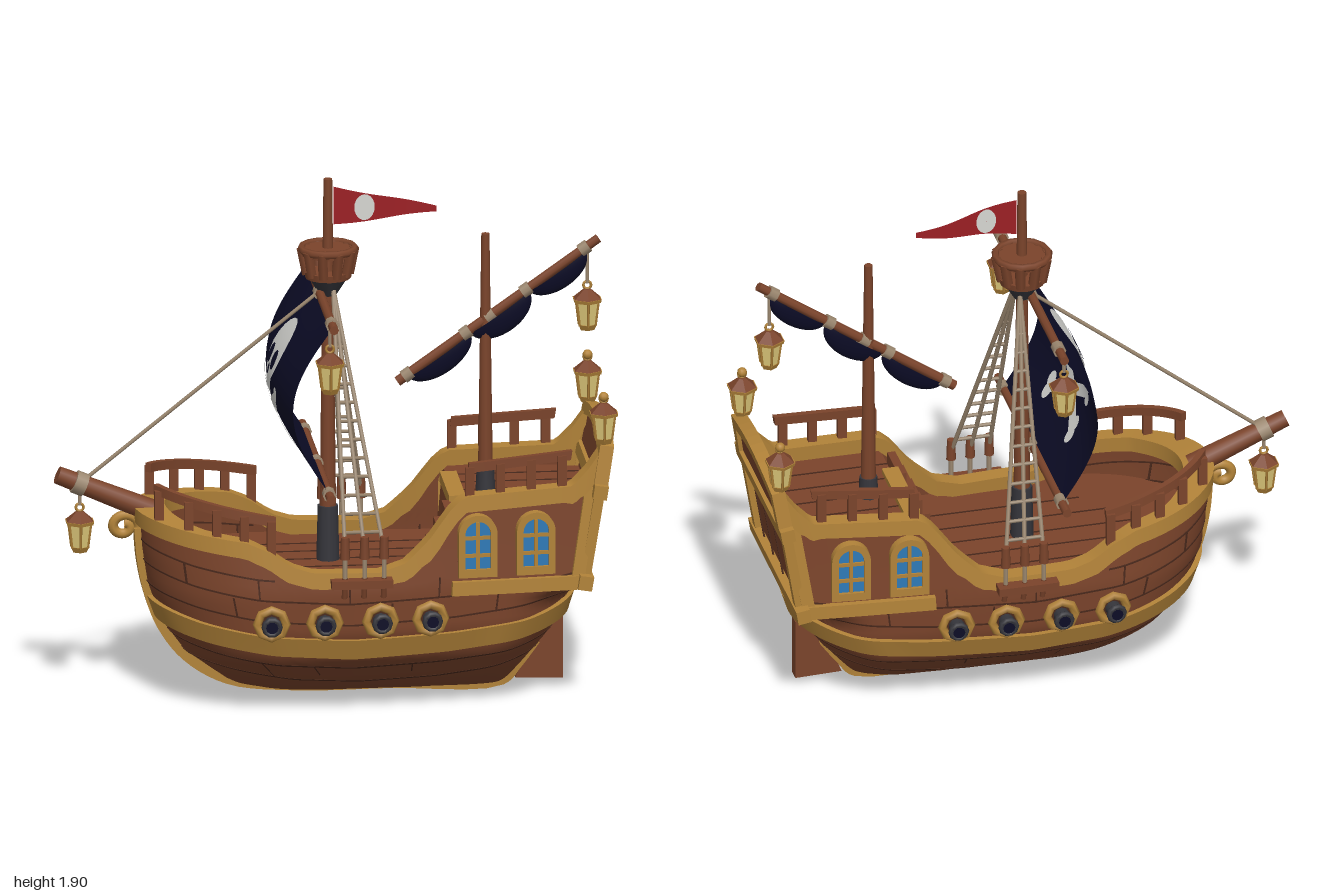
import * as THREE from 'three';
import { toCreasedNormals } from 'three/addons/utils/BufferGeometryUtils.js';

const V = (x, y, z) => new THREE.Vector3(x, y, z);
const mat = (name, color) => new THREE.MeshStandardMaterial({ name, color, side: THREE.DoubleSide });
const wood = mat('wood', 0x7b442b), seam = mat('dark seam', 0x4a291c), gold = mat('golden trim', 0xb28339),
  glow = mat('lantern glass', 0xe2cc7c), navy = mat('navy cloth', 0x0c0c26), bone = mat('bone white', 0xd6d6d2),
  red = mat('red cloth', 0x9c1f24), rope = mat('rope', 0x9c8870), iron = mat('iron', 0x36363c), blue = mat('window blue', 0x2f7ab8);

// Piecewise linear lookup in [key, value] pairs
function look(table, k) {
  for (let i = 1; i < table.length; i++) {
    const [a, va] = table[i - 1], [b, vb] = table[i];
    if (k <= b) return va + (vb - va) * Math.max(0, (k - a) / (b - a));
  }
  return table[table.length - 1][1];
}
// Hull form: bow and stern outline, half width, sheer, belt and hand rail lines
const BOW = [[0, -0.1], [0.02, -0.27], [0.05, -0.38], [0.17, -0.54], [0.28, -0.62], [0.42, -0.67], [0.55, -0.69], [0.7, -0.7]];
const STERN = [[0, 0.6], [0.1, 0.68], [0.2, 0.76], [0.3, 0.83], [0.43, 0.86], [0.8, 0.92], [0.98, 0.95]];
const WIDTH = [[0, 0], [0.02, 0.09], [0.05, 0.16], [0.1, 0.235], [0.2, 0.325], [0.3, 0.362], [0.45, 0.37], [0.6, 0.355], [0.8, 0.338], [0.98, 0.328]];
const SHEER = [[0, 0.69], [0.1, 0.665], [0.22, 0.64], [0.27, 0.605], [0.32, 0.55], [0.37, 0.525], [0.52, 0.52], [0.58, 0.55], [0.63, 0.63], [0.675, 0.74], [0.7, 0.78], [0.94, 0.8], [0.97, 0.86], [1, 0.95]];
const BELT = [[0, 0.335], [0.1, 0.3], [0.25, 0.262], [0.45, 0.24], [0.7, 0.255], [0.88, 0.285], [1, 0.325]];
const RAIL = [[0.025, 0.815], [0.285, 0.735], [0.7, 0.905], [0.93, 0.935]];
const sheer = s => look(SHEER, s), belt = s => look(BELT, s), rail = s => look(RAIL, s);
const sAt = (x, y) => (x - look(BOW, y)) / (look(STERN, y) - look(BOW, y));
const clamp = v => Math.min(1, Math.max(0, v));

// t runs -1 (right stern) through 0 (stem) to 1 (left stern); the stern is round low down, square above
function hull(t, y) {
  const s = clamp(t * t), b = look(BOW, y), e = look(STERN, y);
  const plan = s < 0.28 ? Math.sqrt(1 - (1 - s / 0.28) ** 2) : s < 0.42 ? 1 : 1 - 0.18 * ((s - 0.42) / 0.58) ** 1.4;
  const round = Math.sqrt(1 - clamp((s - 0.82) / 0.18) ** 2), low = clamp((0.43 - y) / 0.06);
  return V(b + (e - b) * s, y, Math.sign(t) * look(WIDTH, y) * plan * (1 - low + low * round));
}
function outward(t, y) {
  const d = hull(Math.min(t + 0.004, 1), y).sub(hull(Math.max(t - 0.004, -1), y));
  return V(-d.z, 0, d.x).normalize();
}
// Skin over rows of points; closed rows are capped
function loft(rows, closed = false, crease = 0.6) {
  const n = rows[0].length, idx = [];
  for (let i = 0; i < rows.length - 1; i++) for (let j = 0; j < (closed ? n : n - 1); j++) {
    const a = i * n + j, b = i * n + (j + 1) % n;
    idx.push(a, b, a + n, b, b + n, a + n);
  }
  const e = (rows.length - 1) * n;
  if (closed) for (let j = 1; j < n - 1; j++) idx.push(0, j + 1, j, e, e + j, e + j + 1);
  const g = new THREE.BufferGeometry().setFromPoints(rows.flat());
  g.setIndex(idx);
  return toCreasedNormals(g, crease);
}
const range = (n, f) => Array.from({ length: n + 1 }, (_, i) => f(i / n));
// Steps from t0 to t1 that crowd together at the stern
const ease = (t0, t1, k) => Math.sin(Math.asin(t0) + (Math.asin(t1) - Math.asin(t0)) * k);

export function createModel() {
  const ship = new THREE.Group();
  ship.name = 'sailingShip';
  const add = (name, geo, m, p = [0, 0, 0], parent = ship) => {
    const mesh = new THREE.Mesh(geo, m);
    mesh.name = name; mesh.position.set(...p); parent.add(mesh);
    return mesh;
  };
  const box = (name, m, w, h, d, p, parent) => add(name, new THREE.BoxGeometry(w, h, d), m, p, parent);
  const rod = (name, m, a, b, r0, r1 = r0, sides = 8) => {
    const A = V(...a), B = V(...b), d = B.clone().sub(A);
    const mesh = add(name, new THREE.CylinderGeometry(r1, r0, d.length(), sides), m, A.clone().add(B).multiplyScalar(0.5).toArray());
    mesh.quaternion.setFromUnitVectors(V(0, 1, 0), d.normalize());
  };
  // Plank bent along the hull between two heights
  const strake = (name, m, t0, t1, lo, hi, inn, out, n = 24) => add(name, loft(range(n, k => {
    const t = ease(t0, t1, k), s = t * t, i = -inn(s);
    return [[lo(s), out], [hi(s), out], [hi(s), i], [lo(s), i]].map(([y, o]) => hull(t, y).addScaledVector(outward(t, y), o));
  }), true), m);
  const sideStrake = (name, m, s0, s1, lo, hi, inn, out, n) => [1, -1].forEach(g =>
    strake(name, m, g * Math.sqrt(s0), g * Math.sqrt(s1), lo, hi, () => inn, out, n));
  const onHull = (name, x, y, side) => {
    const g = new THREE.Group(), t = side * Math.sqrt(sAt(x, y)), n = outward(t, y);
    g.name = name; g.position.copy(hull(t, y)); g.rotation.y = Math.atan2(n.x, n.z); ship.add(g);
    return g;
  };
  const across = (s, y) => [hull(-Math.sqrt(s), y), hull(Math.sqrt(s), y)];

  // Hull, transom and decks
  add('hull', loft(range(130, k => range(30, v => {
    const t = ease(-1, 1, k);
    return hull(t, sheer(t * t) * v ** 1.5);
  })), false, 0.7), wood);
  add('transom', loft(range(20, k => across(1, 0.37 + 0.56 * k))), wood);
  add('mainDeck', loft(range(30, k => across(0.7 * k * k, 0.48))), wood);
  add('poopDeck', loft(range(8, k => across(0.7 + 0.3 * k, 0.72))), wood);
  add('poopBulkhead', loft([across(0.7, 0.48), across(0.7, 0.72)]), wood);
  for (const z of [-0.2, -0.1, 0, 0.1, 0.2]) {
    box('deckSeam', seam, 0.86 - Math.abs(z), 0.004, 0.005, [-0.05 + Math.abs(z) / 2, 0.481, z]);
    box('deckSeam', seam, 0.48, 0.004, 0.005, [0.66, 0.721, z]);
  }
  box('poopEdge', gold, 0.06, 0.04, 0.32, [0.43, 0.72, -0.02]);
  for (let i = 0; i < 4; i++) box('stair', wood, 0.03, 0.06 * (i + 1), 0.16, [0.3 + i * 0.03, 0.48 + 0.03 * (i + 1), 0.2]);

  // Gold rail, belt and quarter trim
  const thick = s => 0.048 * Math.hypot(1, (sheer(s + 0.01) - sheer(s - 0.01)) / 0.033);
  strake('sheerRail', gold, -1, 1, s => sheer(s) - Math.min(thick(s), 0.11), s => sheer(s) + 0.01, s => 0.045 + 0.05 * Math.max(0, 1 - s / 0.12), 0.018, 160);
  strake('beltRail', gold, -1, 1, s => belt(s) - 0.038, s => belt(s) + 0.038, () => 0.01, 0.02, 110);
  sideStrake('quarterTrim', gold, 0.69, 1, () => 0.432, () => 0.482, 0.01, 0.022);
  sideStrake('quarterPost', gold, 0.97, 1, () => 0.46, () => 0.8, 0.01, 0.014, 3);

  // Plank seams
  for (const d of [-0.16, -0.09, 0.09, 0.17]) strake('plankSeam', seam, -1, 1, s => belt(s) + d, s => belt(s) + d + 0.006, () => 0.003, 0.003, 110);
  sideStrake('bowSeam', seam, 0, 0.28, s => belt(s) + 0.245, s => belt(s) + 0.251, 0.003, 0.003);
  for (const [s, d] of [[0.08, 0.17], [0.18, 0.09], [0.24, 0.17], [0.34, -0.16], [0.45, 0.17], [0.55, 0.09], [0.62, -0.16], [0.66, 0.17], [0.8, 0.09], [0.2, -0.16]])
    sideStrake('plankJoint', seam, s, s + 0.004, k => belt(k) + d, k => belt(k) + d + 0.075, 0.003, 0.003, 1);

  // Stem and keel with scroll, stern post and rudder
  const keel = new THREE.CatmullRomCurve3([[-0.7, 0.62], [-0.69, 0.5], [-0.665, 0.38], [-0.62, 0.26], [-0.53, 0.14], [-0.38, 0.05], [-0.15, 0.02], [0.2, 0.018], [0.6, 0.02], [0.655, 0.08], [0.72, 0.17]].map(p => V(...p, 0)));
  add('keel', loft(range(50, k => {
    const p = keel.getPoint(k), d = keel.getTangent(k), n = V(d.y, -d.x, 0), w = 0.028 + 0.08 * Math.max(0, k - 0.7);
    return [[0.017, w], [0.017, -w], [-0.03, -w], [-0.03, w]].map(([o, z]) => p.clone().addScaledVector(n, o).setZ(z));
  }), true), gold);
  const curl = range(20, k => V(-0.752 + (0.056 - 0.042 * k) * Math.cos(k * 8 - 0.3), 0.622 + (0.05 - 0.038 * k) * Math.sin(k * 8 - 0.3), 0));
  add('bowScroll', new THREE.TubeGeometry(new THREE.CatmullRomCurve3(curl), 40, 0.018, 8), gold);
  const blade = new THREE.Shape([[0.65, 0.025], [0.82, 0.02], [0.82, 0.25], [0.76, 0.25], [0.69, 0.13]].map(p => new THREE.Vector2(...p)));
  add('rudder', new THREE.ExtrudeGeometry(blade, { depth: 0.05, bevelEnabled: false }), wood, [0, 0, -0.025]);

  // Leaning stern frame
  const stern = new THREE.Group();
  stern.name = 'sternFrame'; stern.position.set(0.865, 0.43, 0); stern.rotation.z = -0.163; ship.add(stern);
  box('sternSill', gold, 0.05, 0.052, 0.7, [0, 0.03, 0], stern);
  box('sternBeam', gold, 0.05, 0.05, 0.67, [0, 0.365, 0], stern);
  for (const z of [-0.29, 0.29]) box('sternPost', gold, 0.036, 0.31, 0.04, [0, 0.2, z], stern);
  for (const z of [-0.2, -0.07, 0.07, 0.2]) box('sternSeam', seam, 0.006, 0.3, 0.006, [0.003, 0.2, z], stern);
  const arch = (w, lo, hi, top) => [new THREE.Vector2(-w - 0.015, lo), ...range(10, k => new THREE.Vector2(w * (2 * k - 1), hi + (top - hi) * Math.sin(k * Math.PI))), new THREE.Vector2(w + 0.015, lo)];
  const frame = new THREE.Shape(arch(0.295, 0.38, 0.53, 0.57));
  frame.holes.push(new THREE.Path(arch(0.25, 0.39, 0.49, 0.53)));
  const extrude = (shape, depth) => new THREE.ExtrudeGeometry(shape, { depth, bevelEnabled: false });
  add('sternArch', extrude(frame, 0.05).rotateY(Math.PI / 2), gold, [-0.025, 0, 0], stern);
  add('sternArchPanel', extrude(new THREE.Shape(arch(0.27, 0.36, 0.5, 0.54)), 0.02).rotateY(Math.PI / 2), wood, [-0.01, 0, 0], stern);

  // Bow and poop railings
  for (const [s0, s1, n] of [[0.025, 0.285, 5], [0.705, 0.93, 4]]) {
    sideStrake('handRail', wood, s0, s1, s => rail(s) - 0.034, rail, 0.022, 0);
    for (const side of [1, -1]) for (let i = 0; i < n; i++) {
      const s = s0 + 0.01 + (s1 - s0 - 0.02) * i / (n - 1), p = hull(side * Math.sqrt(s), sheer(s)), h = rail(s) - sheer(s);
      box('railPost', wood, 0.032, h, 0.022, [p.x, p.y + h / 2 - 0.015, p.z * 0.97]);
    }
  }

  // Arched windows and gun ports on both sides
  const arched = (w, y0, y1) => new THREE.Shape().moveTo(-w, y0).lineTo(w, y0).lineTo(w, y1).absarc(0, y1, w, 0, Math.PI).lineTo(-w, y0);
  for (const side of [1, -1]) {
    for (const x of [0.48, 0.69]) {
      const g = onHull('window', x, 0.61, side), f = arched(0.07, -0.115, 0.045);
      f.holes.push(arched(0.046, -0.085, 0.045));
      add('windowFrame', extrude(f, 0.035), gold, [0, 0, -0.008], g);
      add('windowPane', extrude(arched(0.05, -0.09, 0.045), 0.02), blue, [0, 0, -0.005], g);
      box('windowBar', gold, 0.013, 0.175, 0.008, [0, 0, 0.018], g);
      for (const y of [-0.035, 0.03]) box('windowBar', gold, 0.095, 0.013, 0.008, [0, y, 0.018], g);
    }
    for (const x of [-0.26, -0.07, 0.13, 0.31]) {
      const g = onHull('cannon', x, 0.35, side);
      add('portRing', new THREE.TorusGeometry(0.052, 0.016, 6, 8), gold, [0, 0, 0.01], g);
      add('portBack', new THREE.CircleGeometry(0.05, 10), seam, [0, 0, 0.008], g);
      add('barrel', new THREE.CylinderGeometry(0.027, 0.03, 0.08, 10).rotateX(Math.PI / 2), iron, [0, 0, 0.02], g);
      add('muzzle', new THREE.TorusGeometry(0.028, 0.01, 6, 10), iron, [0, 0, 0.052], g);
      add('bore', new THREE.CircleGeometry(0.022, 10), navy, [0, 0, 0.062], g);
    }
  }

  // Masts, crow's nest and bowsprit
  rod('mainMast', wood, [-0.02, 0.48, 0], [-0.02, 1.89, 0], 0.032, 0.016, 10);
  rod('mastFoot', iron, [-0.02, 0.48, 0], [-0.02, 0.68, 0], 0.042, 0.037, 10);
  rod('nestBase', wood, [-0.02, 1.525, 0], [-0.02, 1.55, 0], 0.082, 0.087, 14);
  rod('nestBracket', iron, [-0.02, 1.46, 0], [-0.02, 1.524, 0], 0.03, 0.07, 10);
  rod('nestFloor', wood, [-0.02, 1.61, 0], [-0.02, 1.635, 0], 0.095, 0.097, 14);
  add('nestRail', new THREE.TorusGeometry(0.096, 0.014, 6, 14).rotateX(Math.PI / 2), wood, [-0.02, 1.632, 0]);
  for (let i = 0; i < 10; i++) {
    const c = Math.cos(i * Math.PI / 5), s = Math.sin(i * Math.PI / 5);
    rod('nestSlat', wood, [-0.02 + 0.076 * c, 1.54, 0.076 * s], [-0.02 + 0.095 * c, 1.635, 0.095 * s], 0.019, 0.019, 6);
  }
  rod('mizzenMast', wood, [0.545, 0.72, 0], [0.545, 1.67, 0], 0.028, 0.015, 10);
  rod('mizzenFoot', iron, [0.545, 0.72, 0], [0.545, 0.8, 0], 0.036, 0.032, 10);
  rod('bowsprit', wood, [-0.64, 0.672, 0], [-0.99, 0.82, 0], 0.042, 0.032, 10);
  rod('bowspritRope', rope, [-0.89, 0.778, 0], [-0.93, 0.795, 0], 0.042, 0.042, 10);
  rod('forestay', rope, [-0.88, 0.81, 0], [-0.03, 1.49, 0], 0.007, 0.007, 6);

  // Main sail between two yards, with emblem on both faces
  for (const [y, x] of [[1.47, -0.05], [0.84, -0.06]]) {
    rod('yard', wood, [x, y, -0.5], [x, y, 0.5], 0.017, 0.017);
    for (const z of [-0.43, -0.02, 0.4]) rod('yardLashing', rope, [x, y, z], [x, y, z + 0.04], 0.024);
  }
  const drape = (geo, off) => {
    const p = geo.attributes.position;
    for (let i = 0; i < p.count; i++) {
      const z = p.getX(i), y = p.getY(i), k = clamp((y - 0.85) / 0.61);
      p.setXYZ(i, -0.045 - 0.02 * (1 - k) - (0.135 + 0.04 * (1 - (z / 0.43) ** 2)) * Math.sin(Math.PI * k) + off, y, z);
    }
    geo.computeVertexNormals();
    return geo;
  };
  add('mainSail', drape(new THREE.PlaneGeometry(0.86, 0.61, 20, 24).translate(0, 1.155, 0), 0), navy);
  const disc = (r, x, y, sy = 1) => new THREE.RingGeometry(0.0005, r, 20, 5).scale(1, sy, 1).translate(x, y, 0);
  for (const o of [0.005, -0.005]) {
    add('skull', drape(disc(0.12, 0, 1.265, 0.9), o), bone);
    add('jaw', drape(new THREE.PlaneGeometry(0.13, 0.08, 4, 4).translate(0, 1.16, 0), o), bone);
    add('nose', drape(disc(0.015, 0, 1.195, 1.3), o * 1.8), navy);
    for (const s of [1, -1]) {
      add('eye', drape(disc(0.035, s * 0.05, 1.238, 1), o * 1.8), navy);
      add('crossBone', drape(new THREE.PlaneGeometry(0.35, 0.044, 12, 2).rotateZ(s * 0.42).translate(0, 1.055, 0), o), bone);
      for (const e of [0.985, 1.125]) for (const d of [-0.018, 0.018])
        add('boneEnd', drape(disc(0.027, s * 0.164 + d * 0.4, e + d), o), bone);
    }
  }

  // Gaff with furled sail in three swags
  const gaff = k => V(0.23 + 0.72 * k, 1.13 + 0.51 * k, 0), tilt = Math.atan2(0.51, 0.72);
  rod('gaff', wood, gaff(0).toArray(), gaff(1).toArray(), 0.019, 0.017);
  for (const [k, len, deep] of [[0.2, 0.135, 0.07], [0.5, 0.13, 0.08], [0.79, 0.125, 0.068]]) {
    const p = gaff(k);
    const swag = add('furledSail', new THREE.SphereGeometry(1, 18, 10, 0, Math.PI * 2, Math.PI / 2, Math.PI / 2).scale(len, deep, 0.03), navy, [p.x + 0.005, p.y - 0.008, 0]);
    swag.rotation.z = tilt;
  }
  for (const k of [0.05, 0.34, 0.46, 0.64, 0.93]) rod('gaffLashing', rope, gaff(k - 0.02).toArray(), gaff(k + 0.02).toArray(), 0.025);

  // Pennant
  const wave = x => 0.012 * Math.sin(x * 17);
  const pennant = new THREE.PlaneGeometry(0.37, 0.14, 16, 2), pp = pennant.attributes.position;
  for (let i = 0; i < pp.count; i++) {
    const x = pp.getX(i) + 0.185;
    pp.setXYZ(i, x, 1.79 - x * 0.06 + pp.getY(i) * (1 - 2.3 * x), wave(x));
  }
  pennant.computeVertexNormals();
  add('pennant', pennant, red);
  for (const o of [0.005, -0.005]) {
    const g = disc(0.037, 0.11, 1.785, 1.3), q = g.attributes.position;
    for (let i = 0; i < q.count; i++) q.setZ(i, wave(q.getX(i)) + o);
    add('pennantEmblem', g, bone);
  }

  // Shrouds, ratlines and their platforms
  for (const side of [1, -1]) {
    box('channel', wood, 0.22, 0.03, 0.07, [0.06, 0.5, side * 0.39]);
    const top = V(-0.005, 1.5, side * 0.03), feet = [0, 0.07, 0.14].map(x => V(x, 0.62, side * 0.395));
    for (const f of feet) {
      rod('shroud', rope, f.toArray(), top.toArray(), 0.008, 0.008, 6);
      rod('deadeye', wood, [f.x, 0.59, f.z], [f.x, 0.67, f.z], 0.018, 0.015);
      rod('lanyard', rope, [f.x, 0.51, f.z], [f.x, 0.61, f.z], 0.009, 0.009, 6);
      rod('chainPlate', wood, [f.x, 0.44, side * 0.375], [f.x, 0.52, f.z], 0.01);
    }
    for (let i = 1; i < 13; i++)
      rod('ratline', rope, feet[0].clone().lerp(top, i * 0.07).toArray(), feet[2].clone().lerp(top, i * 0.07).toArray(), 0.007, 0.007, 5);
  }

  // Lanterns: y is the top ring, hang is the cord length above it
  const lantern = (x, y, z, hang) => {
    const g = new THREE.Group();
    g.name = 'lantern'; g.position.set(x, y, z); ship.add(g);
    const tier = (name, m, r1, r0, h, cy) => add(name, new THREE.CylinderGeometry(r1, r0, h, 6).toNonIndexed(), m, [0, cy, 0], g).geometry.computeVertexNormals();
    add('lanternRing', new THREE.TorusGeometry(0.014, 0.005, 6, 10), gold, [0, -0.012, 0], g);
    tier('lanternCap', wood, 0.014, 0.056, 0.036, -0.045);
    tier('lanternRim', gold, 0.057, 0.054, 0.012, -0.067);
    tier('lanternGlass', glow, 0.045, 0.032, 0.088, -0.115);
    tier('lanternBase', gold, 0.037, 0.028, 0.02, -0.166);
    for (let i = 0; i < 6; i++) {
      const c = Math.sin(i * Math.PI / 3), s = Math.cos(i * Math.PI / 3);
      rod('lanternBar', gold, [x + 0.045 * c, y - 0.07, z + 0.045 * s], [x + 0.033 * c, y - 0.16, z + 0.033 * s], 0.005, 0.005, 4);
    }
    if (hang) rod('lanternCord', rope, [x, y - 0.005, z], [x, y + hang, z], 0.007, 0.007, 6);
  };
  lantern(-0.91, 0.71, 0, 0.06);
  lantern(0.91, 1.48, 0, 0.12);
  for (const z of [1, -1]) {
    lantern(-0.06, 1.4, z * 0.45, 0.06);
    lantern(0.94, 1.135, z * 0.275, 0);
    add('lanternBall', new THREE.SphereGeometry(0.018, 10, 8), gold, [0.94, 1.13, z * 0.275]);
  }
  return ship;
}
